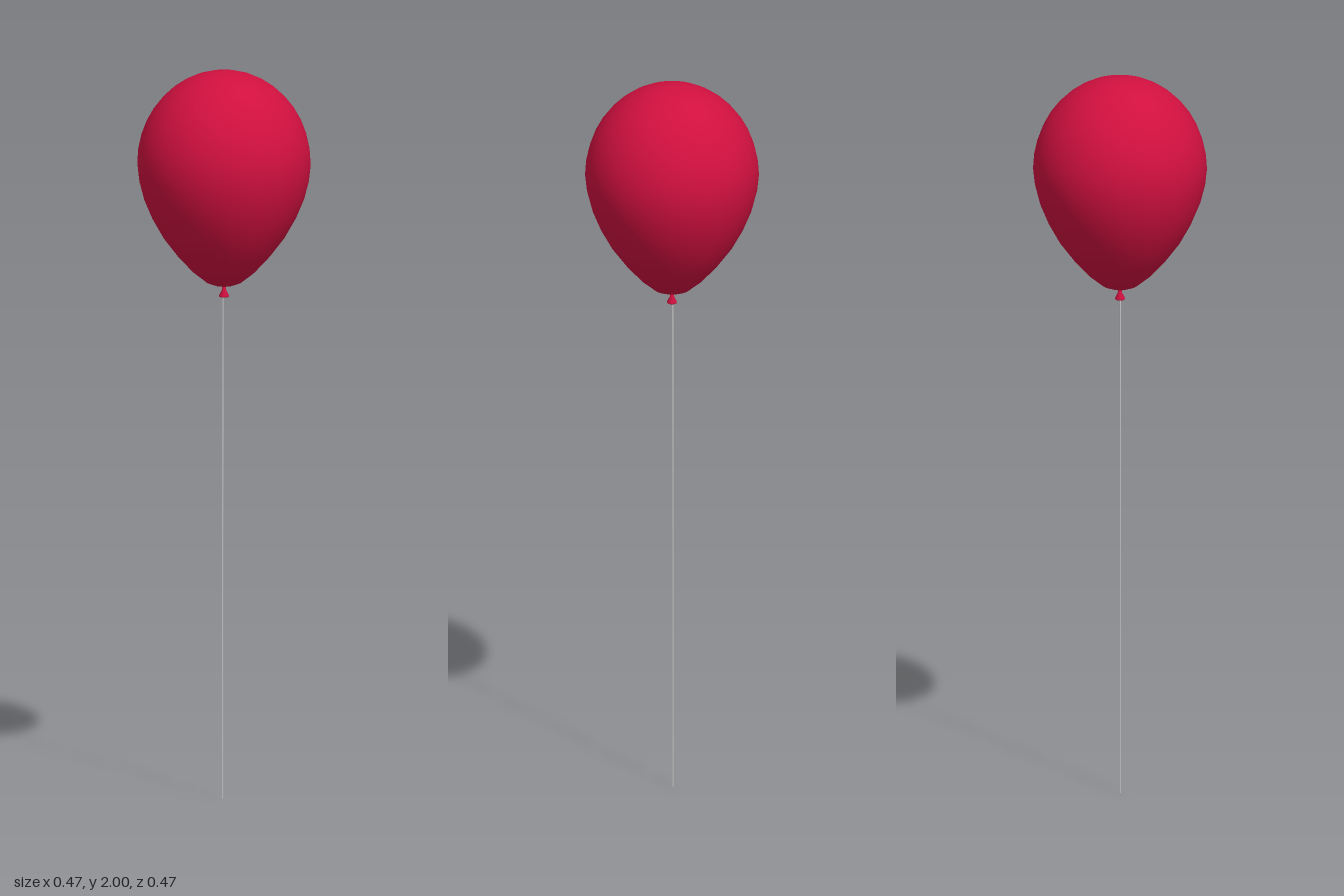
import * as THREE from 'three';

export function createModel() {
  const model = new THREE.Group();
  const red = new THREE.MeshStandardMaterial({ color: 0xd0103f });
  const grey = new THREE.MeshStandardMaterial({ color: 0xcccccc });
  const add = (name, geometry, material) => {
    const mesh = new THREE.Mesh(geometry, material);
    mesh.name = name;
    model.add(mesh);
    return mesh;
  };

  // Balloon: tapered, rounded lower half, then an elliptical dome
  const profile = [
    [0, 1.408], [0.025, 1.411], [0.047, 1.419], [0.085, 1.449], [0.125, 1.492],
    [0.164, 1.543], [0.195, 1.598], [0.217, 1.65], [0.23, 1.7],
  ].map(([r, y]) => new THREE.Vector2(r, y));
  const steps = 10;
  for (let i = 0; i <= steps; i++) {
    const a = (i / steps) * Math.PI / 2;
    profile.push(new THREE.Vector2(i === steps ? 0 : 0.235 * Math.cos(a), 1.745 + 0.255 * Math.sin(a)));
  }
  add('balloon', new THREE.LatheGeometry(profile, 32), red);

  // Tied neck: a narrow pinch flaring into a small skirt
  const neck = [[0, 1.412], [0.005, 1.41], [0.005, 1.4], [0.014, 1.382], [0.012, 1.379], [0, 1.385]]
    .reverse().map(([r, y]) => new THREE.Vector2(r, y));
  add('knot', new THREE.LatheGeometry(neck, 12), red);

  // String hanging to the ground, slightly off centre
  const path = new THREE.CatmullRomCurve3([
    new THREE.Vector3(-0.004, 0, 0),
    new THREE.Vector3(-0.004, 0.7, 0),
    new THREE.Vector3(-0.003, 1.39, 0),
  ]);
  add('string', new THREE.TubeGeometry(path, 12, 0.002, 6), grey);

  return model;
}
